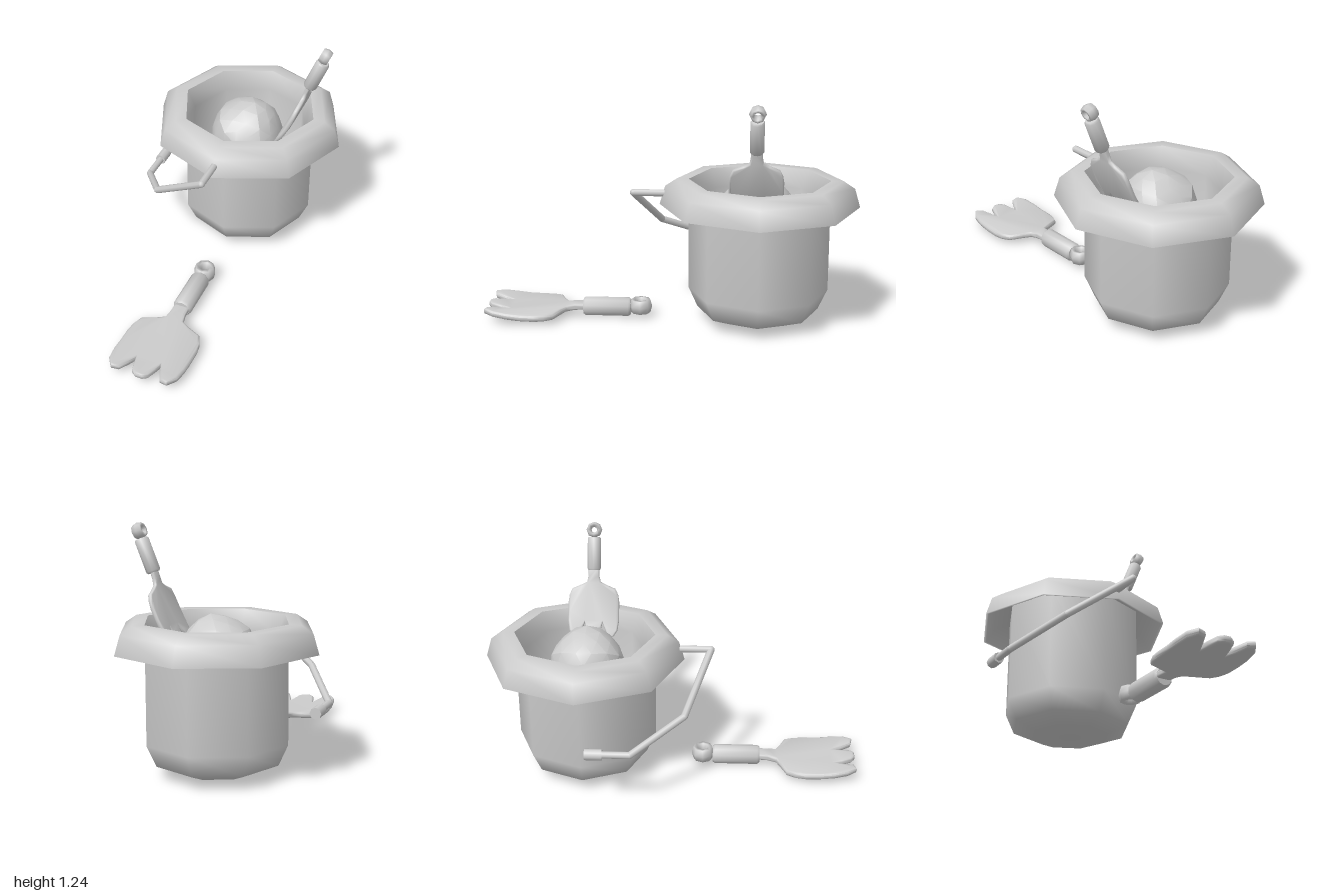
import * as THREE from 'three';
import { toCreasedNormals, mergeVertices } from 'three/addons/utils/BufferGeometryUtils.js';

const material = new THREE.MeshStandardMaterial({ color: 0xcccccc, side: THREE.DoubleSide });

function part(name, geometry, parent) {
  const mesh = new THREE.Mesh(geometry, material);
  mesh.name = name;
  parent.add(mesh);
  return mesh;
}

const lathe = (points, sides) =>
  new THREE.LatheGeometry(points.map(([r, y]) => new THREE.Vector2(r, y)), sides);

// Eight-sided bucket with an overhanging hollow rim
function createBucket() {
  const bucket = new THREE.Group();
  bucket.name = 'bucket';
  part('bucketBody', lathe([[0, 0.02], [0.2, 0.02], [0.325, 0.07], [0.375, 0.18], [0.375, 0.74]], 8), bucket);
  part('bucketRim', lathe([[0.375, 0.73], [0.47, 0.71], [0.515, 0.64], [0.53, 0.64], [0.5, 0.74],
    [0.44, 0.78], [0.375, 0.78]], 8), bucket);
  part('bucketInside', lathe([[0.375, 0.78], [0.33, 0.68], [0.32, 0.2], [0.18, 0.07], [0, 0.07]], 8), bucket);
  return bucket;
}

// Bent carrying handle made of straight rods with rounded joints
function createBail() {
  const bail = new THREE.Group();
  bail.name = 'carryHandle';
  const points = [[0, 0.7, 0], [0, 0.7, 0.2], [-0.32, 0.47, 0.07], [-0.5, 0.34, -0.2], [-0.5, 0.34, -0.43]]
    .map((p) => new THREE.Vector3(...p));
  const up = new THREE.Vector3(0, 1, 0);
  const rod = (name, a, b, radius) => {
    const mesh = part(name, new THREE.CylinderGeometry(radius, radius, a.distanceTo(b), 8), bail);
    mesh.position.lerpVectors(a, b, 0.5);
    mesh.quaternion.setFromUnitVectors(up, b.clone().sub(a).normalize());
  };
  for (let i = 0; i < points.length - 1; i++) {
    rod('handleRod', points[i], points[i + 1], 0.019);
    if (i > 0) part('handleJoint', new THREE.SphereGeometry(0.019, 8, 6), bail).position.copy(points[i]);
  }
  rod('handleEnd', new THREE.Vector3(-0.5, 0.34, -0.34), points[4], 0.03);
  return bail;
}

// Three-tined sand fork lying along z, ring end at the origin
function createFork(name) {
  const fork = new THREE.Group();
  fork.name = name;

  const ring = part('hangingRing', new THREE.TorusGeometry(0.042, 0.02, 6, 8).rotateX(Math.PI / 2), fork);
  ring.scale.y = 2.1;
  ring.position.set(0, 0.008, 0.06);

  const grip = lathe([[0, 0], [0.044, 0], [0.053, 0.012], [0.053, 0.245], [0.044, 0.258], [0, 0.258]], 10);
  part('grip', toCreasedNormals(grip.rotateX(Math.PI / 2), 0.9), fork).position.z = 0.115;

  // Right half of the blade outline, from neck to middle tine
  const half = [[0.03, 0.36], [0.032, 0.42], [0.042, 0.47], [0.09, 0.495], [0.16, 0.525], [0.18, 0.57],
    [0.188, 0.62], [0.188, 0.7], [0.188, 0.77], [0.178, 0.84], [0.15, 0.882], [0.12, 0.875],
    [0.095, 0.82], [0.068, 0.765], [0.05, 0.82], [0.035, 0.87], [0.015, 0.885]];
  const outline = [...half, ...half.slice().reverse().map(([x, z]) => [-x, z])];
  let blade = new THREE.ExtrudeGeometry(new THREE.Shape(outline.map((p) => new THREE.Vector2(...p))),
    { depth: 0.012, bevelThickness: 0.011, bevelSize: 0.011, bevelSegments: 2 });
  blade.rotateX(Math.PI / 2).translate(0, 0.006, 0);
  // Dish the blade: low in the middle, lifting toward the tips
  const pos = blade.attributes.position;
  for (let i = 0; i < pos.count; i++) {
    const x = pos.getX(i), z = pos.getZ(i);
    const t = THREE.MathUtils.clamp((z - 0.4) / 0.5, 0, 1);
    pos.setY(i, pos.getY(i) + 0.005 - 0.026 * Math.sin(Math.PI * t) + 0.3 * x * x * t);
  }
  part('blade', toCreasedNormals(blade, 1), fork);
  return fork;
}

// Lumpy ball of sand
function createSandBall() {
  let ball = new THREE.IcosahedronGeometry(0.2, 2);
  ball.deleteAttribute('normal');
  ball.deleteAttribute('uv');
  ball = mergeVertices(ball);
  const pos = ball.attributes.position;
  const v = new THREE.Vector3();
  for (let i = 0; i < pos.count; i++) {
    v.fromBufferAttribute(pos, i);
    v.multiplyScalar(1 + 0.03 * Math.sin(v.x * 23 + 1) * Math.cos(v.z * 19) + 0.02 * Math.sin(v.y * 31 + v.x * 17));
    pos.setXYZ(i, v.x, v.y, v.z);
  }
  return toCreasedNormals(ball.toNonIndexed(), 0.4);
}

export function createModel() {
  const model = new THREE.Group();
  model.name = 'sandBucketSet';

  const bucket = createBucket();
  bucket.position.z = -0.47;
  model.add(bucket, createBail());

  part('sandBall', createSandBall(), model).position.set(-0.005, 0.605, -0.46);

  const groundFork = createFork('groundFork');
  groundFork.position.set(0, 0.056, 0.104);
  model.add(groundFork);

  // Smaller fork standing in the bucket, dished side facing the middle
  const bucketFork = createFork('bucketFork');
  const s = Math.sin(0.385), c = Math.cos(0.385);
  bucketFork.quaternion.setFromRotationMatrix(new THREE.Matrix4().makeBasis(
    new THREE.Vector3(0, 0, 1), new THREE.Vector3(-c, s, 0), new THREE.Vector3(-s, -c, 0)));
  bucketFork.scale.setScalar(0.7);
  bucketFork.position.set(0.446, 1.24, -0.45);
  model.add(bucketFork);

  return model;
}
